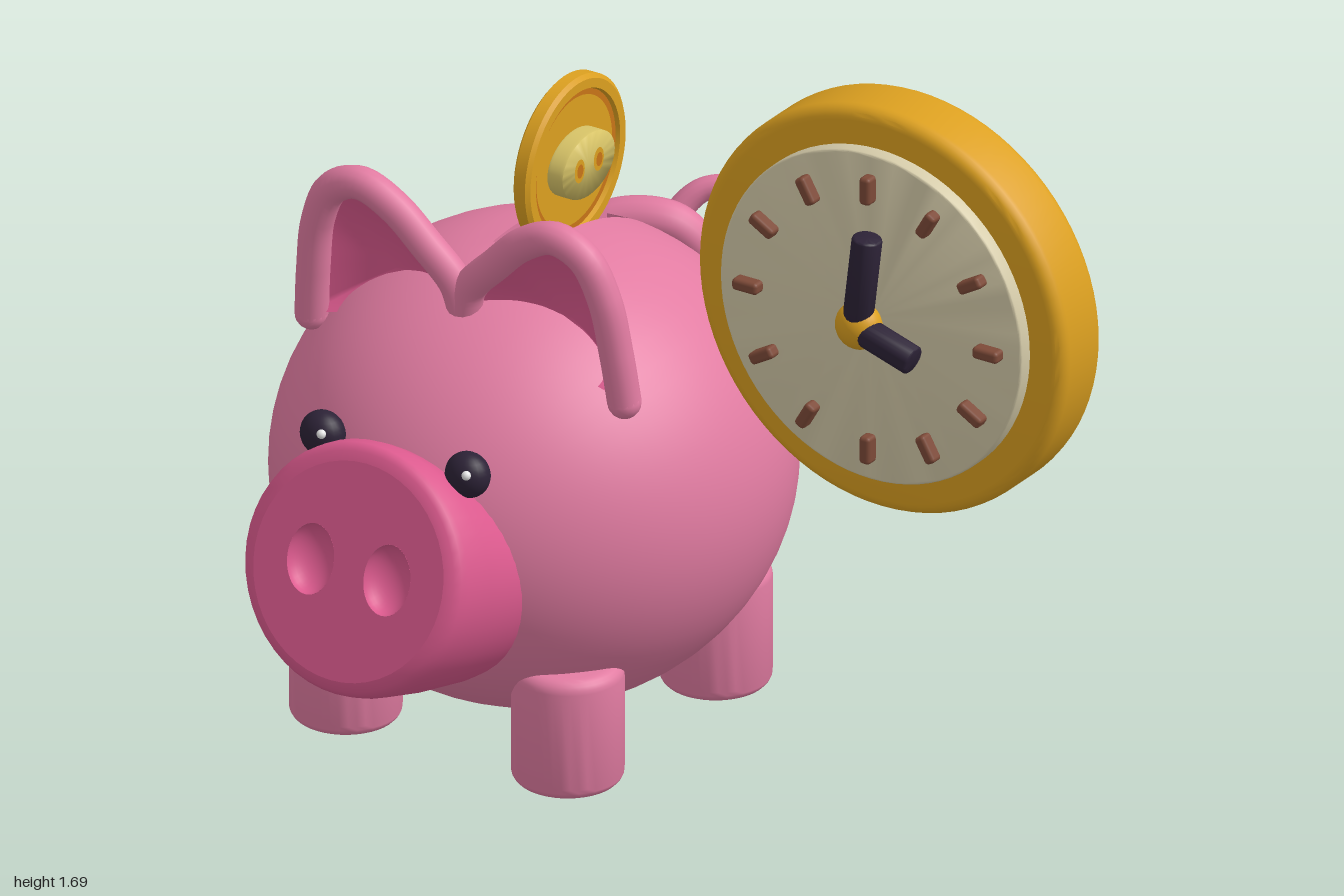
import * as THREE from 'three';
import { toCreasedNormals } from 'three/addons/utils/BufferGeometryUtils.js';
import { RoundedBoxGeometry } from 'three/addons/geometries/RoundedBoxGeometry.js';

const mat = (name, color, side = THREE.FrontSide) => {
  const m = new THREE.MeshStandardMaterial({ color, side });
  m.name = name;
  return m;
};
const V = (x, y, z) => new THREE.Vector3(x, y, z);

// Surface through rows of points; columns optionally wrap around.
function grid(rows, closed, skip = () => false) {
  const n = rows[0].length, index = [];
  for (let i = 0; i < rows.length - 1; i++)
    for (let j = 0; j < (closed ? n : n - 1); j++) {
      if (skip(i, j)) continue;
      const k = (j + 1) % n, a = i * n + j, b = i * n + k, d = a + n, c = b + n;
      index.push(a, d, b, b, d, c);
    }
  const g = new THREE.BufferGeometry().setFromPoints(rows.flat());
  g.setIndex(index);
  g.computeVertexNormals();
  return g;
}

function lathe(profile, segments = 48) {
  const pts = profile.map(([r, y]) => new THREE.Vector2(r, y));
  return toCreasedNormals(new THREE.LatheGeometry(pts, segments), 0.6);
}

// Cylinder profile with rounded rims.
function roundedDisc(r, y0, y1, e, segments = 64) {
  const p = [[0, y0]];
  for (const [cy, start] of [[y0 + e, -Math.PI / 2], [y1 - e, 0]])
    for (let i = 0; i <= 5; i++) {
      const a = start + (i / 5) * Math.PI / 2;
      p.push([r - e + e * Math.cos(a), cy + e * Math.sin(a)]);
    }
  p.push([0, y1]);
  return lathe(p, segments);
}

// Tube whose radius runs from r0 to r1.
function taperedTube(curve, r0, r1, seg = 64, radial = 14) {
  const g = new THREE.TubeGeometry(curve, seg, r0, radial, false);
  const p = g.attributes.position, v = V(0, 0, 0);
  for (let i = 0; i < p.count; i++) {
    const u = Math.floor(i / (radial + 1)) / seg, c = curve.getPointAt(u);
    v.fromBufferAttribute(p, i).sub(c).multiplyScalar(1 + (r1 / r0 - 1) * u).add(c);
    p.setXYZ(i, v.x, v.y, v.z);
  }
  return g;
}

export function createModel() {
  const D = THREE.DoubleSide;
  const pink = mat('body pink', 0xe27ca2, D), rose = mat('snout pink', 0xdc5a8e, D);
  const gold = mat('gold', 0xdca020, D), cream = mat('clock cream', 0xd6ccaa);
  const brown = mat('tick brown', 0x7d4a38), dark = mat('dark violet', 0x2c2236);
  const orange = mat('coin orange', 0xc87418, D), pale = mat('pale gold', 0xd8c468);
  const white = mat('eye glint', 0xf4f4f4);

  const model = new THREE.Group();
  const add = (parent, name, geo, material, x = 0, y = 0, z = 0) => {
    const m = new THREE.Mesh(geo, material);
    m.name = name;
    m.position.set(x, y, z);
    parent.add(m);
    return m;
  };
  const group = (parent, name, x = 0, y = 0, z = 0) => {
    const g = new THREE.Group();
    g.name = name;
    g.position.set(x, y, z);
    parent.add(g);
    return g;
  };

  const pig = group(model, 'pig', -0.426);

  // Body: ellipsoid with a slot on top and a round recess at the back
  const RX = 0.575, RY = 0.545, RZ = 0.6, CY = 0.585, SLOT = 0.055;
  const topY = (x, z) => CY + RY * Math.sqrt(1 - (x / RX) ** 2 - (z / RZ) ** 2);
  const stops = [[0, 24], [Math.acos(0.08 / RZ), 16], [Math.acos(-0.375 / RZ), 10], [Math.PI - 0.25, 0]];
  const profile = [];
  for (let s = 0; s < 3; s++)
    for (let i = 0; i < stops[s][1]; i++) {
      const t = THREE.MathUtils.lerp(stops[s][0], stops[s + 1][0], i / stops[s][1]);
      profile.push([Math.sin(t), RZ * Math.cos(t)]);
    }
  const rim = Math.sin(0.25);
  profile.push([rim, -RZ * Math.cos(0.25)], [rim, -0.48], [0, -0.48]);
  const COLS = 64, inSlot = i => i >= 24 && i <= 40;
  const bodyRows = profile.map(([r, z], i) => Array.from({ length: COLS }, (_, j) => {
    const a = (j / COLS) * Math.PI * 2;
    if (inSlot(i) && (j === 15 || j === 17)) {
      const x = j === 15 ? SLOT : -SLOT;
      return V(x, topY(x, z), z);
    }
    return V(RX * r * Math.cos(a), CY + RY * r * Math.sin(a), z);
  }));
  const body = grid(bodyRows, true, (i, j) => i >= 24 && i < 40 && (j === 15 || j === 16));
  add(pig, 'body', toCreasedNormals(body, 0.6), pink);

  // Slot walls and floor
  const slotRow = (z, depth) => {
    const y = topY(SLOT, z);
    return [V(-SLOT, y, z), V(-SLOT, y - depth, z), V(SLOT, y - depth, z), V(SLOT, y, z)];
  };
  const zs = profile.slice(24, 41).map(p => p[1]);
  const slot = grid([slotRow(zs[0], 0), ...zs.map(z => slotRow(z, 0.13)), slotRow(zs[16], 0)], false).toNonIndexed();
  slot.computeVertexNormals();
  add(pig, 'coinSlot', slot, pink);

  // Snout: cone bent so that its end faces slightly upwards
  const lerp = THREE.MathUtils.lerp;
  const snout = new THREE.LatheGeometry([[0.3, -0.6], [0.302, 0], [0.295, 0.4], [0.286, 0.8], [0.28, 0.9],
    [0.267, 0.97], [0.245, 1]].map(p => new THREE.Vector2(...p)), 48);
  const sp = snout.attributes.position;
  for (let i = 0; i < sp.count; i++) {
    const x = sp.getX(i), t = sp.getY(i), up = -sp.getZ(i), a = lerp(-0.11, 0.3, t);
    sp.setXYZ(i, x, lerp(0.54, 0.6, t) + up * Math.cos(a), lerp(0.535, 0.74, t) - up * Math.sin(a));
  }
  add(pig, 'snout', toCreasedNormals(snout, 0.8), rose);
  const muzzle = group(pig, 'snoutFront', 0, 0.6, 0.74);
  muzzle.rotation.x = -0.3;
  const disc = new THREE.Shape().absarc(0, 0, 0.245, 0, Math.PI * 2);
  for (const s of [-1, 1]) {
    disc.holes.push(new THREE.Path().absellipse(s * 0.1, 0.005, 0.06, 0.08, 0, Math.PI * 2, true));
    const bowl = new THREE.SphereGeometry(1, 32, 10, 0, Math.PI * 2, Math.PI / 2, Math.PI / 2);
    bowl.rotateX(Math.PI / 2).scale(0.06, 0.08, 0.05);
    add(muzzle, 'nostril', bowl, rose, s * 0.1, 0.005, 0);
  }
  add(muzzle, 'snoutDisc', new THREE.ShapeGeometry(disc, 24), rose);

  // Ears: round rim with a cupped back and a deeper inner face
  const earZ = y => 0.262 + 0.043 * (y - 0.92) / 0.4;
  const rimCurve = new THREE.CatmullRomCurve3([[0.41, 0.93], [0.397, 1.05], [0.375, 1.18], [0.33, 1.27],
    [0.255, 1.302], [0.17, 1.265], [0.09, 1.19], [0.02, 1.115], [0, 1.05]].map(([x, y]) => V(x, y, earZ(y))));
  const outline = rimCurve.getSpacedPoints(40);
  const cup = depth => grid(Array.from({ length: 11 }, (_, i) => outline.map(p => {
    const s = i / 10, x = lerp(0.23, p.x, s), y = lerp(1.06, p.y, s);
    return V(x, y, earZ(y) - depth * (1 - s * s));
  })), true);
  for (const s of [-1, 1]) {
    const ear = group(pig, s > 0 ? 'leftEar' : 'rightEar');
    ear.scale.x = s;
    add(ear, 'earRim', taperedTube(rimCurve, 0.038, 0.038, 48), pink);
    add(ear, 'earTip', new THREE.SphereGeometry(0.038, 16, 12), pink, 0.41, 0.93, earZ(0.93));
    add(ear, 'earBack', cup(0.12), pink);
    add(ear, 'earInside', cup(0.08), rose);

    // Eyes
    const eye = group(pig, s > 0 ? 'leftEye' : 'rightEye', s * 0.19, 0.812, 0.553);
    add(eye, 'eyeball', new THREE.SphereGeometry(0.053, 24, 16), dark).scale.z = 0.85;
    add(eye, 'glint', new THREE.SphereGeometry(0.011, 12, 8), white, 0.02, 0.017, 0.036);

    // Legs
    for (const [name, z] of [['frontLeg', 0.308], ['backLeg', -0.282]])
      add(pig, name, roundedDisc(0.125, 0, 0.29, 0.03, 40), pink, s * 0.291, 0, z);
  }

  // Curly tail
  const tailCurve = new THREE.CatmullRomCurve3([[-0.14, 0.9, -0.4], [-0.075, 0.955, -0.445], [0.04, 0.96, -0.495],
    [0.1, 0.87, -0.545], [0.055, 0.79, -0.59], [-0.035, 0.78, -0.64], [-0.085, 0.85, -0.685],
    [-0.045, 0.92, -0.735], [0.025, 0.93, -0.775], [0.066, 0.888, -0.795]].map(p => V(...p)));
  add(pig, 'tail', taperedTube(tailCurve, 0.056, 0.022, 90), pink);
  const tip = tailCurve.getPoint(1);
  add(pig, 'tailTip', new THREE.SphereGeometry(0.022, 14, 10), pink, tip.x, tip.y, tip.z);

  // Coin standing in the slot, its face towards +x
  const coin = group(model, 'coin', -0.428, 1.245, -0.145);
  coin.rotation.y = Math.PI / 2;
  const coinBody = lathe([[0, -0.022], [0.19, -0.022], [0.2, -0.014], [0.2, 0.014], [0.19, 0.022],
    [0.168, 0.022], [0.164, 0.01], [0, 0.01]], 56);
  add(coin, 'coinBody', coinBody.rotateX(Math.PI / 2), gold);
  add(coin, 'coinRing', new THREE.RingGeometry(0.151, 0.166, 56), orange, 0, 0, 0.012);
  const pill = roundedDisc(1, 0, 0.04, 0.01, 40).rotateX(Math.PI / 2).scale(0.105, 0.075, 1);
  add(coin, 'coinSnout', pill, pale, 0, 0, 0.01);
  for (const s of [-1, 1]) {
    add(coin, 'coinNostril', new THREE.CircleGeometry(0.02, 20), gold, s * 0.038, 0, 0.0515).scale.y = 1.4;
    add(coin, 'coinNostrilCore', new THREE.CircleGeometry(0.012, 20), orange, s * 0.038, 0, 0.053).scale.y = 1.4;
  }

  // Clock
  const clock = group(model, 'clock', 0.511, 1.203, 0);
  add(clock, 'clockCase', roundedDisc(0.483, -0.113, 0.05, 0.03, 80).rotateX(Math.PI / 2), gold);
  add(clock, 'clockFace', roundedDisc(0.396, 0.03, 0.083, 0.008, 80).rotateX(Math.PI / 2), cream);
  for (let i = 0; i < 12; i++) {
    const a = (i / 12) * Math.PI * 2;
    const tick = add(clock, 'hourTick', new RoundedBoxGeometry(0.028, 0.066, 0.036, 2, 0.009), brown,
      Math.sin(a) * 0.315, Math.cos(a) * 0.315, 0.094);
    tick.rotation.z = -a;
  }
  const hand = (name, length, angle) => {
    const g = roundedDisc(0.034, 0, length, 0.008, 24);
    add(clock, name, g, dark, 0, 0, 0.137).rotation.z = angle;
  };
  hand('minuteHand', 0.225, -0.12);
  hand('hourHand', 0.155, -Math.PI / 2 - 0.3);
  add(clock, 'hub', new THREE.SphereGeometry(0.055, 24, 16), gold, 0, 0, 0.13).scale.z = 0.85;

  return model;
}
